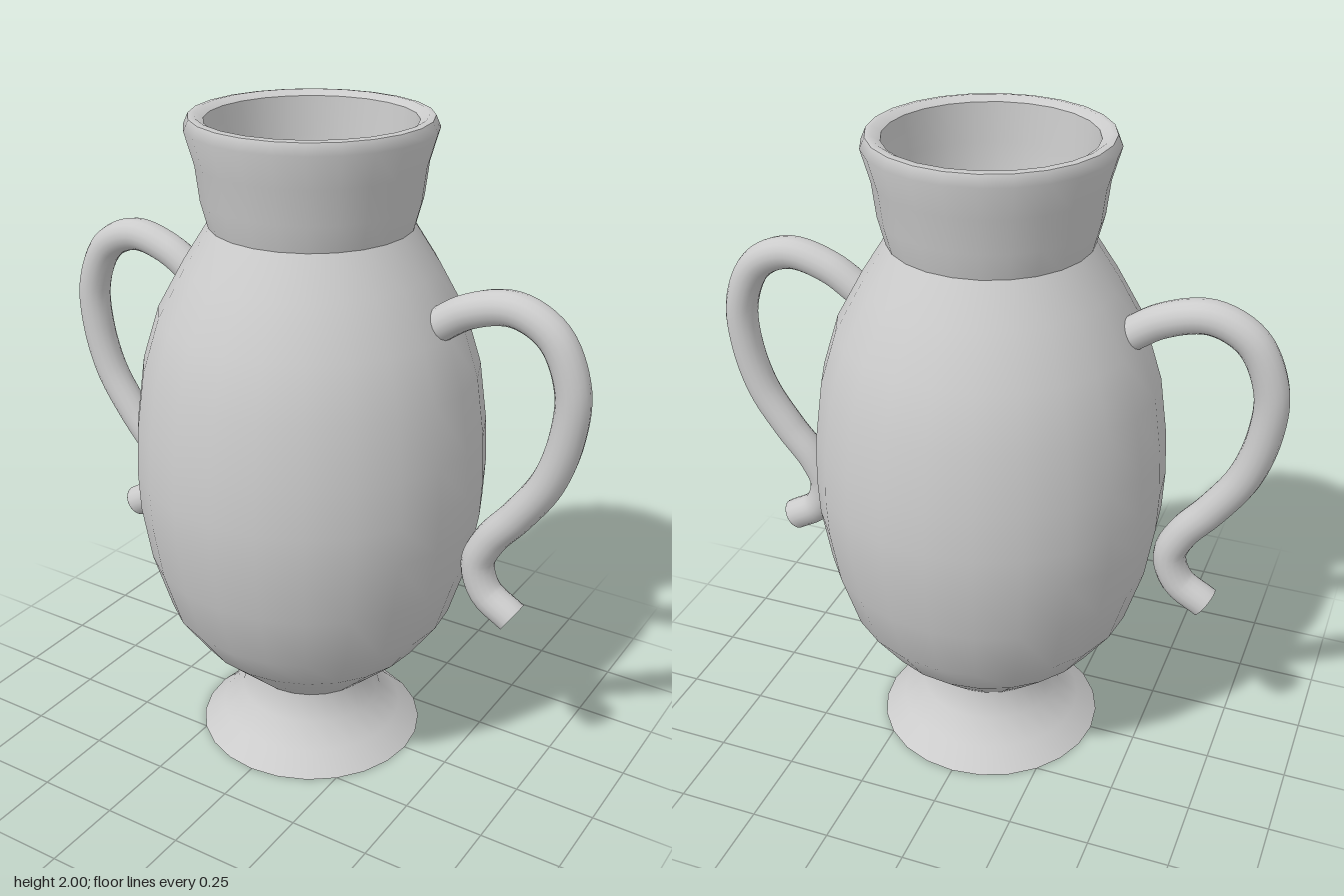
import * as THREE from 'three';

const material = new THREE.MeshStandardMaterial({ color: 0xcccccc, side: THREE.DoubleSide });

// Revolve a list of [radius, height] pairs around the vertical axis.
function lathe(name, points) {
  const profile = points.map(([r, y]) => new THREE.Vector2(r, y));
  const mesh = new THREE.Mesh(new THREE.LatheGeometry(profile, 24), material);
  mesh.name = name;
  return mesh;
}

// S-shaped tube with closed ends; side is +1 (left) or -1 (right).
function handle(name, side) {
  const radius = 0.05;
  const points = [
    [0.40, 1.45], [0.51, 1.52], [0.645, 1.55], [0.76, 1.495], [0.823, 1.36],
    [0.82, 1.22], [0.775, 1.07], [0.69, 0.94], [0.61, 0.84], [0.575, 0.755],
    [0.605, 0.665], [0.695, 0.605],
  ].map(([x, y]) => new THREE.Vector3(side * x, y, 0));
  const curve = new THREE.CatmullRomCurve3(points);
  const group = new THREE.Group();
  group.name = name;
  const tube = new THREE.Mesh(new THREE.TubeGeometry(curve, 64, radius, 16), material);
  tube.name = 'handleTube';
  group.add(tube);
  for (const t of [0, 1]) {
    const cap = new THREE.Mesh(new THREE.CircleGeometry(radius, 16), material);
    const outward = curve.getTangent(t).multiplyScalar(t ? 1 : -1);
    cap.position.copy(curve.getPoint(t));
    cap.quaternion.setFromUnitVectors(new THREE.Vector3(0, 0, 1), outward);
    cap.name = 'handleEnd';
    group.add(cap);
  }
  return group;
}

export function createModel() {
  const vase = new THREE.Group();
  vase.name = 'twoHandledVase';

  // Hollow underside of the foot
  vase.add(lathe('footUnderside', [[0, 0.11], [0.15, 0.10], [0.26, 0.08]]));
  vase.add(lathe('footInnerRim', [[0.26, 0.08], [0.355, 0]]));

  // Flared foot
  vase.add(lathe('foot', [[0.355, 0], [0.29, 0.06], [0.225, 0.125], [0.20, 0.21], [0.21, 0.225]]));

  // Egg-shaped body and flared neck, up to the lip
  vase.add(lathe('body', [
    [0.20, 0.21], [0.27, 0.275], [0.36, 0.36], [0.445, 0.48], [0.50, 0.66], [0.527, 0.83], [0.532, 0.95],
    [0.525, 1.09], [0.50, 1.27], [0.45, 1.43], [0.37, 1.575], [0.297, 1.69],
  ]));
  vase.add(lathe('neck', [[0.297, 1.69], [0.318, 1.77], [0.33, 1.87], [0.357, 1.965], [0.343, 1.997]]));

  // Lip and inner wall
  vase.add(lathe('lip', [[0.343, 1.997], [0.325, 2], [0.30, 1.985]]));
  vase.add(lathe('innerWall', [
    [0.30, 1.985], [0.29, 1.87], [0.28, 1.77], [0.26, 1.69], [0.335, 1.56], [0.415, 1.42], [0.47, 1.26],
    [0.50, 1.08], [0.505, 0.94], [0.50, 0.83], [0.47, 0.67], [0.41, 0.50], [0.33, 0.385],
    [0.22, 0.29], [0.10, 0.25], [0, 0.24],
  ]));

  vase.add(handle('leftHandle', 1), handle('rightHandle', -1));
  return vase;
}
